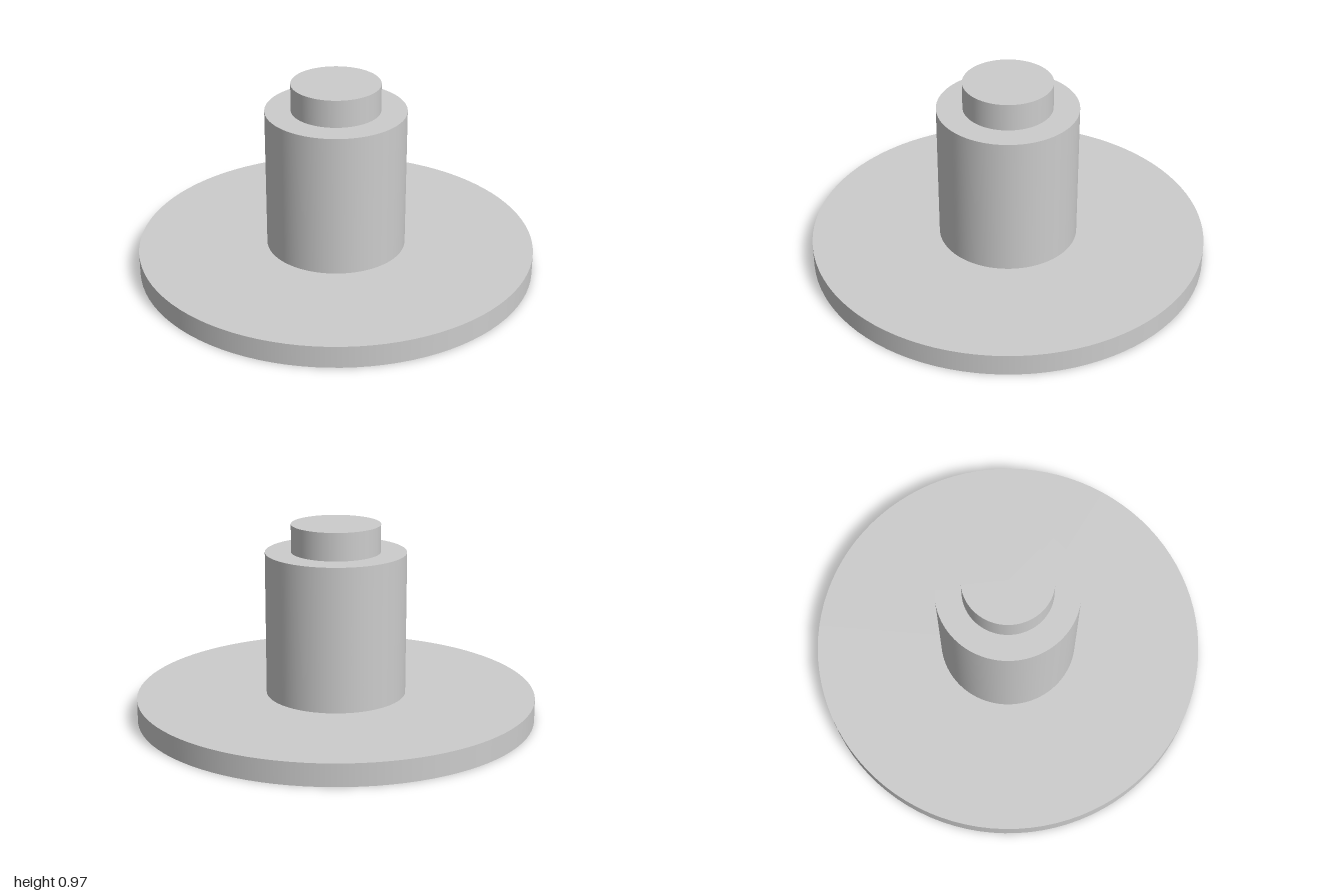
import * as THREE from 'three';

const SEGMENTS = 96;

export function createModel() {
  const model = new THREE.Group();
  model.name = 'steppedPost';

  const grey = new THREE.MeshStandardMaterial({ color: 0xcccccc });
  grey.name = 'light grey';

  // Upright disc or post between two heights
  const addCylinder = (name, radius, bottom, top) => {
    const height = top - bottom;
    const mesh = new THREE.Mesh(
      new THREE.CylinderGeometry(radius, radius, height, SEGMENTS), grey);
    mesh.name = name;
    mesh.position.y = bottom + height / 2;
    model.add(mesh);
  };

  addCylinder('baseFlange', 1, 0, 0.111);
  addCylinder('mainPost', 0.351, 0.111, 0.833);
  addCylinder('topBoss', 0.222, 0.833, 0.972);

  return model;
}
